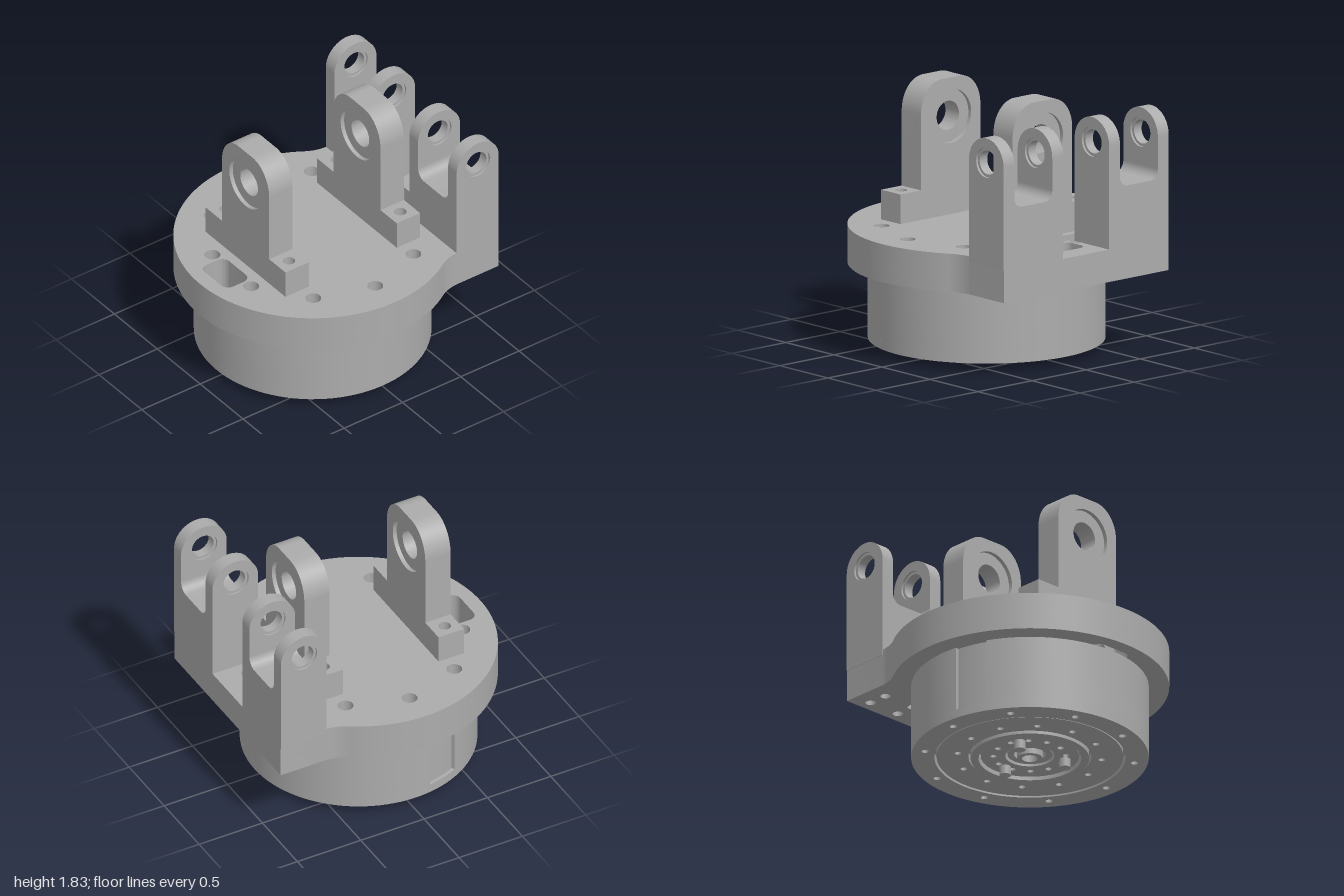
import * as THREE from 'three';
import { toCreasedNormals } from 'three/addons/utils/BufferGeometryUtils.js';

const CZ = 0.035; // z of the turntable axis

export function createModel() {
  const model = new THREE.Group();
  model.name = 'turntableWithBrackets';
  const metal = new THREE.MeshStandardMaterial({ color: 0xacacac });
  metal.name = 'machined grey';

  const add = (name, geometry, parent = model) => {
    const mesh = new THREE.Mesh(geometry, metal);
    mesh.name = name;
    parent.add(mesh);
    return mesh;
  };
  const group = (name) => {
    const g = new THREE.Group();
    g.name = name;
    model.add(g);
    return g;
  };
  const extrude = (shape, depth) => new THREE.ExtrudeGeometry(shape, { depth, bevelEnabled: false, curveSegments: 48 });
  const smooth = (g) => toCreasedNormals(g, 0.5);
  // Plan outline in (x, z), standing between two heights
  const slab = (name, shape, y0, y1, parent) =>
    add(name, smooth(extrude(shape, y1 - y0).rotateX(Math.PI / 2).translate(0, y1, 0)), parent);

  const drill = (shape, x, y, r) => shape.holes.push(new THREE.Path().absarc(x, y, r, 0, Math.PI * 2, true));
  const drillRing = (shape, n, ringR, r, offset = 0) => {
    for (let i = 0; i < n; i++) {
      const a = offset + (i / n) * Math.PI * 2;
      drill(shape, ringR * Math.cos(a), CZ + ringR * Math.sin(a), r);
    }
  };
  const disc = (r, inner = 0) => {
    const s = new THREE.Shape().absarc(0, CZ, r, 0, Math.PI * 2, false);
    if (inner) drill(s, 0, CZ, inner);
    return s;
  };
  const slot = (shape, z0, z1) => {
    const w = 0.155, r = 0.06, h = Math.PI / 2;
    shape.holes.push(new THREE.Path()
      .absarc(w - r, z1 - r, r, 0, h).absarc(-w + r, z1 - r, r, h, 2 * h)
      .absarc(-w + r, z0 + r, r, 2 * h, 3 * h).absarc(w - r, z0 + r, r, 3 * h, 4 * h).closePath());
  };

  // Round plate with a squared rear shelf
  const plateOutline = (rear) => {
    const s = new THREE.Shape();
    s.absarc(0, CZ, 0.963, -0.552, Math.PI + 0.552, false);
    s.quadraticCurveTo(-0.765, -0.55, -0.76, -0.64);
    rear.forEach(([x, z]) => s.lineTo(x, z));
    s.lineTo(0.76, -0.64);
    s.quadraticCurveTo(0.765, -0.55, 0.82, -0.47);
    return s;
  };
  const shelf = [[-0.76, -1], [0.76, -1]];
  const notch = [[-0.25, -0.64], [-0.25, -0.605], [0.25, -0.605], [0.25, -0.64]];
  const plate = group('plate');

  const lower = plateOutline(shelf);
  drillRing(lower, 10, 0.73, 0.025);
  for (const x of [-0.62, -0.36, 0.36, 0.62]) for (const z of [-0.91, -0.76]) drill(lower, x, z, 0.037);
  const middle = plateOutline(shelf);
  drillRing(middle, 10, 0.73, 0.055);
  for (const s of [lower, middle]) {
    slot(s, 0.68, 0.89);
    slot(s, -0.83, -0.62);
  }
  const upper = plateOutline(notch);
  slot(upper, 0.68, 0.89);
  for (let i = -1; i <= 6; i++) {
    const a = (i * Math.PI) / 5;
    if (i < 7) drill(upper, 0.73 * Math.cos(a), CZ + 0.73 * Math.sin(a), 0.055);
  }
  slab('plateBottom', lower, 0.59, 0.74, plate);
  slab('plateMiddle', middle, 0.74, 0.82, plate);
  slab('plateTop', upper, 0.82, 0.86, plate);
  add('slotPin', new THREE.CylinderGeometry(0.05, 0.05, 0.15, 32).rotateX(Math.PI / 2).translate(0, 0.635, 0.755), plate);

  // Drum with a shallow side recess on its right
  const drum = group('drum');
  const a0 = Math.PI - 0.436, a1 = Math.PI - 0.14;
  const body = new THREE.Shape();
  body.absarc(0, CZ, 0.822, a1, a0 + Math.PI * 2, false);
  body.absarc(0, CZ, 0.797, a0, a1, false);
  drillRing(body, 10, 0.73, 0.025);
  slab('drumBody', body, 0.12, 0.59, drum);

  // Underside rings, separated by grooves
  const rim = disc(0.822, 0.66);
  drillRing(rim, 10, 0.73, 0.025);
  slab('drumRim', rim, 0.055, 0.12, drum);
  const face = disc(0.645, 0.425);
  drillRing(face, 12, 0.5, 0.023, 0.13);
  slab('faceRing', face, 0.06, 0.12, drum);
  slab('bearingRing', disc(0.41, 0.355), 0.045, 0.12, drum);
  const hub = disc(0.34, 0.17);
  drillRing(hub, 12, 0.25, 0.022, Math.PI / 12);
  slab('hubRing', hub, 0.065, 0.12, drum);
  slab('hubInner', disc(0.155, 0.11), 0.075, 0.12, drum);
  slab('hubBoss', disc(0.09, 0.055), 0.045, 0.12, drum);

  // Three dowel pins under the hub
  for (let i = 0; i < 3; i++) {
    const a = Math.PI / 6 + (i * Math.PI * 2) / 3;
    const pin = add('dowelPin', new THREE.CylinderGeometry(0.04, 0.04, 0.12, 32), drum);
    pin.position.set(0.248 * Math.cos(a), 0.06, CZ + 0.248 * Math.sin(a));
  }

  // Bearing blocks: counterbored upright on a bolted foot
  const upright = (r) => {
    const s = new THREE.Shape();
    s.moveTo(-0.275, 0.86);
    s.lineTo(0.275, 0.86);
    s.lineTo(0.275, 1.6);
    s.bezierCurveTo(0.275, 1.73, 0.19, 1.83, 0.08, 1.83);
    s.lineTo(-0.08, 1.83);
    s.bezierCurveTo(-0.19, 1.83, -0.275, 1.73, -0.275, 1.6);
    s.closePath();
    drill(s, 0, 1.555, r);
    return s;
  };
  for (const [name, z] of [['frontBearingBlock', 0.41], ['rearBearingBlock', -0.545]]) {
    const block = group(name);
    for (const [dz, depth, r] of [[0, 0.03, 0.19], [0.03, 0.14, 0.103], [0.17, 0.03, 0.19]]) {
      add('upright', smooth(extrude(upright(r), depth).translate(0, 0, z + dz)), block);
    }
    for (const side of [-1, 1]) {
      const xa = side > 0 ? 0.275 : -0.465;
      const foot = new THREE.Shape([[0, 0], [0.19, 0], [0.19, 0.2], [0, 0.2]]
        .map(([x, dz]) => new THREE.Vector2(xa + x, z + dz)));
      drill(foot, side * 0.37, z + 0.1, 0.043);
      slab('foot', foot, 0.86, 1.07, block);
    }
  }

  // Rear clevis brackets: filleted U base and two round-topped lugs
  const lug = (r) => {
    const s = new THREE.Shape();
    s.moveTo(-1, 1.34);
    s.lineTo(-0.64, 1.34);
    s.lineTo(-0.64, 1.55);
    s.absarc(-0.82, 1.55, 0.18, 0, Math.PI, false);
    s.closePath();
    drill(s, -0.82, 1.555, r);
    return s;
  };
  for (const side of [-1, 1]) {
    const bracket = group(side > 0 ? 'leftClevis' : 'rightClevis');
    const cx = side * 0.488, w = 0.275, g = 0.175, f = 0.07;
    const u = new THREE.Shape();
    u.moveTo(cx - w, 0.82);
    u.lineTo(cx + w, 0.82);
    u.lineTo(cx + w, 1.34);
    u.lineTo(cx + g, 1.34);
    u.absarc(cx + g - f, 1.25 + f, f, 0, -Math.PI / 2, true);
    u.absarc(cx - g + f, 1.25 + f, f, -Math.PI / 2, -Math.PI, true);
    u.lineTo(cx - g, 1.34);
    u.lineTo(cx - w, 1.34);
    u.closePath();
    add('clevisBase', smooth(extrude(u, 0.36).translate(0, 0, -1)), bracket);
    for (const xMax of [cx + w, cx - g]) {
      for (const [dx, depth, r] of [[0, 0.015, 0.105], [0.015, 0.07, 0.085], [0.085, 0.015, 0.105]]) {
        add('lug', smooth(extrude(lug(r), depth).rotateY(-Math.PI / 2).translate(xMax - dx, 0, 0)), bracket);
      }
    }
  }
  return model;
}
